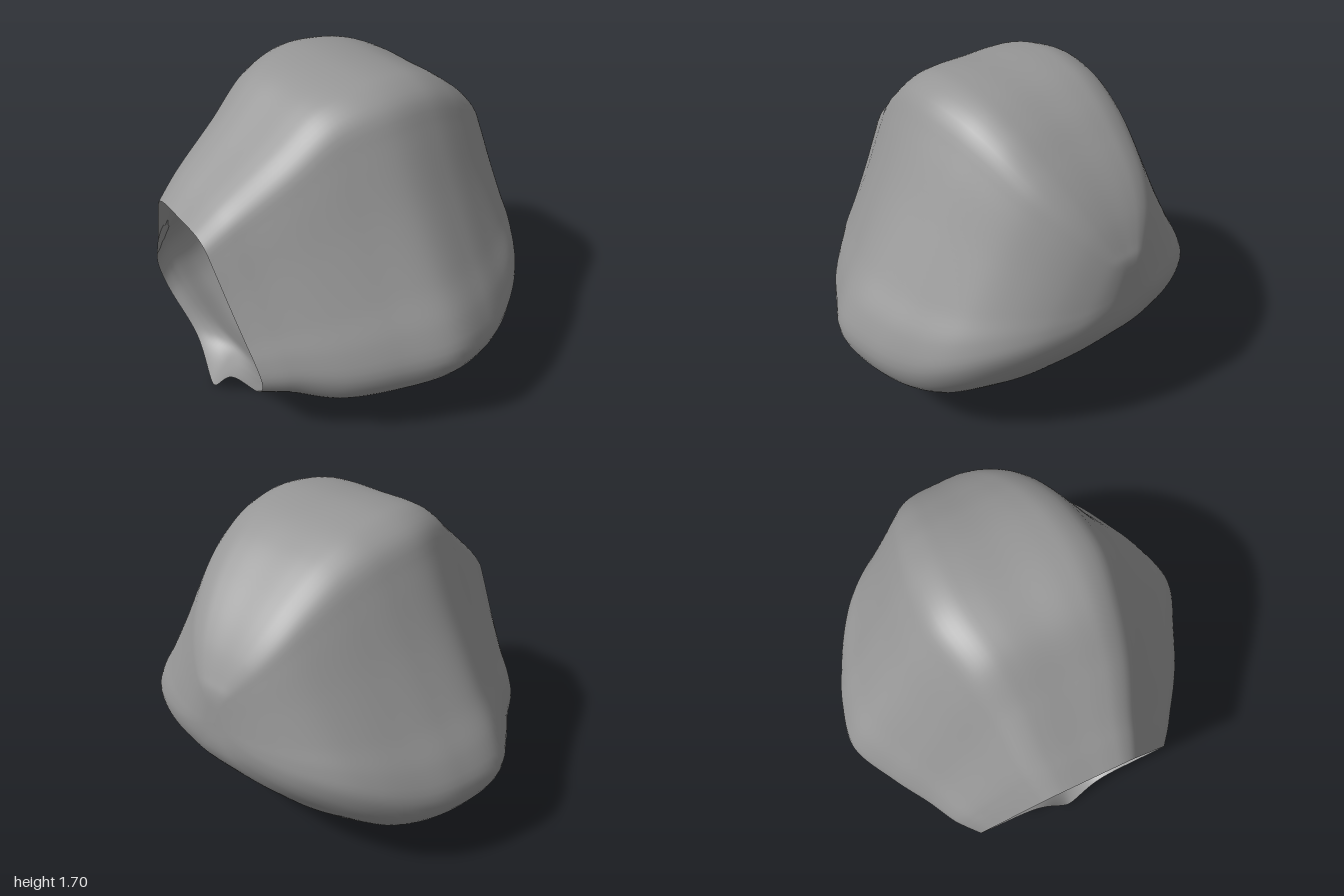
import * as THREE from 'three';

// Cross-section stations along z, back to front:
// [z, top y, bottom y, half width, x centre, rim tilt]
const STATIONS = [
  [-0.905, 0.885, 0.885, 0, -0.01, 0],
  [-0.9, 1.03, 0.74, 0.13, -0.01, 0],
  [-0.87, 1.11, 0.64, 0.27, 0, 0],
  [-0.8, 1.235, 0.53, 0.465, 0, 0],
  [-0.7, 1.36, 0.41, 0.63, 0.005, 0],
  [-0.57, 1.48, 0.27, 0.765, 0.015, 0],
  [-0.4, 1.60, 0.135, 0.875, 0.015, 0],
  [-0.2, 1.68, 0.095, 0.96, 0.01, 0],
  [0.05, 1.70, 0.11, 0.998, 0.002, 0],
  [0.3, 1.64, 0.085, 0.885, 0, 0],
  [0.5, 1.47, 0.115, 0.77, -0.005, 0.2],
  [0.66, 1.297, 0.19, 0.665, -0.04, 0.6],
  [0.73, 1.222, 0.212, 0.612, -0.048, 0.8],
  [0.8, 1.14, 0.22, 0.55, -0.055, 1],
];

// Right half of the rounded trapezoid outline: u = share of half width, v = share of height
const HALF = [
  [0, 1], [0.2, 1], [0.32, 0.99], [0.43, 0.95], [0.5, 0.875], [0.66, 0.68], [0.83, 0.49],
  [0.95, 0.366], [1, 0.27], [0.96, 0.19], [0.85, 0.12], [0.65, 0.06], [0.4, 0.012], [0, 0],
];

function outline(count) {
  const mirrored = HALF.slice(1, -1).reverse().map(([u, v]) => [-u, v]);
  const pts = [...HALF, ...mirrored].map(([u, v]) => new THREE.Vector3(u, v, 0));
  const curve = new THREE.CatmullRomCurve3(pts, true);
  curve.arcLengthDivisions = 800;
  return curve.getSpacedPoints(count).slice(0, count);
}

function shellGeometry(rows, cols) {
  const track = (a, b, c) => new THREE.CatmullRomCurve3(
    STATIONS.map((s) => new THREE.Vector3(s[a], s[b], s[c])), false, 'catmullrom', 0.5);
  const heights = track(0, 1, 2);
  const widths = track(3, 4, 5);
  const ring = outline(cols);
  const pos = [];
  const index = [];

  for (let i = 0; i <= rows; i++) {
    const { x: z0, y: top, z: bottom } = heights.getPoint(i / rows);
    const { x: w, y: xc, z: tilt } = widths.getPoint(i / rows);
    // The floor bends down into a pointed lip near the opening
    const lip = THREE.MathUtils.clamp((z0 - 0.65) / 0.15, 0, 1) ** 1.4;
    for (const { x: u, y: v } of ring) {
      const x = xc + u * w;
      const bump = v < 0.35 ? lip * Math.exp(-((Math.abs(x - xc) / 0.13) ** 1.7)) : 0;
      const y = bottom + v * (top - bottom) - 0.22 * bump;
      // The opening leans forward at the top and slightly to one side
      const z = z0 + tilt * (-0.025 + 0.118 * v + 0.06 * x) + 0.03 * bump;
      pos.push(x, y, z);
    }
  }
  for (let i = 0; i < rows; i++) {
    for (let j = 0; j < cols; j++) {
      const k = (j + 1) % cols;
      const a = i * cols + j, b = i * cols + k, c = a + cols, d = b + cols;
      index.push(a, c, b, b, c, d);
    }
  }
  const geo = new THREE.BufferGeometry();
  geo.setAttribute('position', new THREE.Float32BufferAttribute(pos, 3));
  geo.setIndex(index);
  geo.computeVertexNormals();
  return geo;
}

export function createModel() {
  const group = new THREE.Group();
  group.name = 'hollowShell';
  const material = new THREE.MeshStandardMaterial({ color: 0x979797, side: THREE.DoubleSide });
  // Thin open shell with its pouring lip
  const shell = new THREE.Mesh(shellGeometry(104, 160), material);
  shell.name = 'shellWithLip';
  group.add(shell);
  return group;
}
